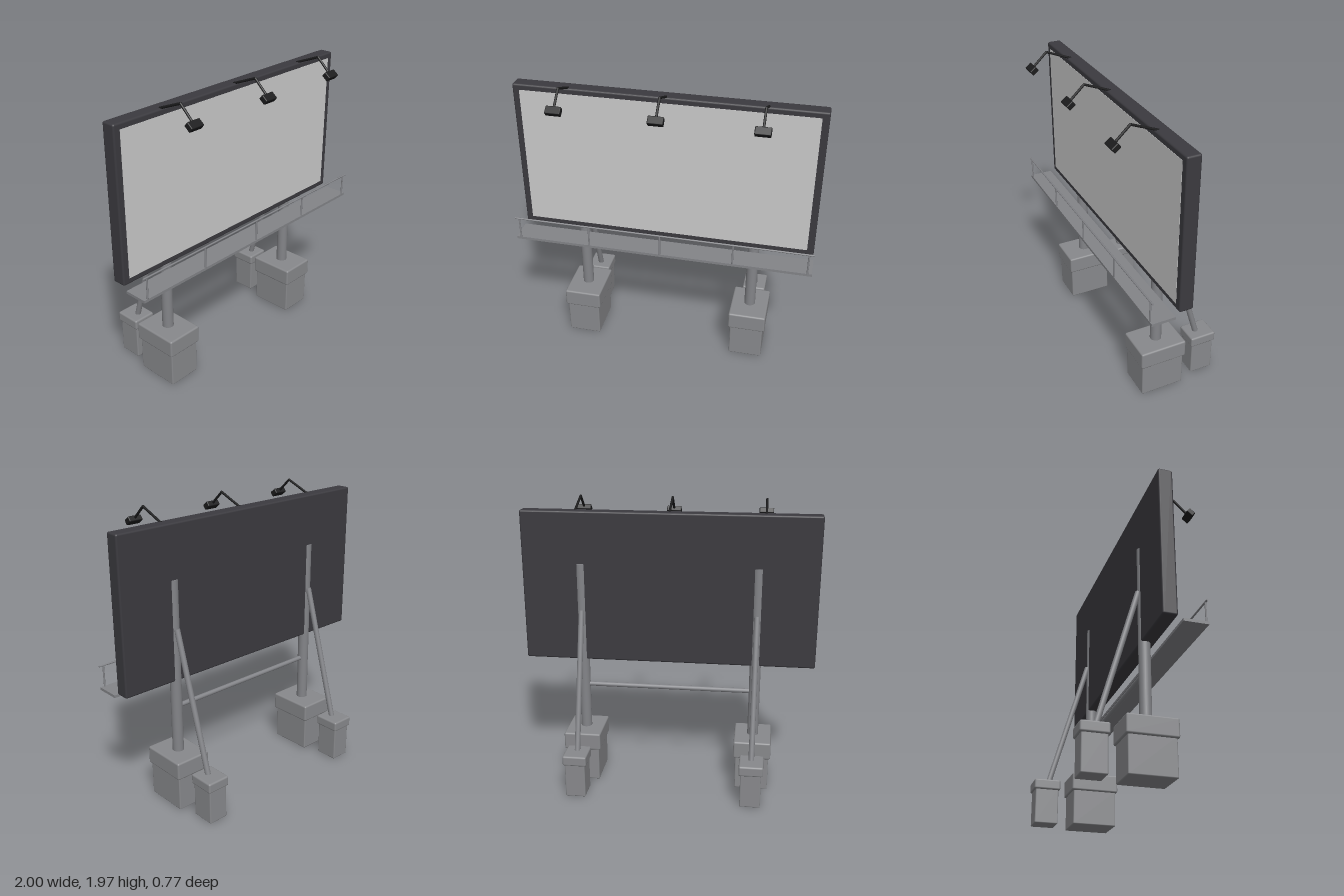
import * as THREE from 'three';
import { RoundedBoxGeometry } from 'three/addons/geometries/RoundedBoxGeometry.js';

function material(name, color) {
  const m = new THREE.MeshStandardMaterial({ color });
  m.name = name;
  return m;
}

export function createModel() {
  const frame = material('darkFrame', 0x3b3a3f);
  const poster = material('blankPoster', 0xcacaca);
  const concrete = material('concreteGrey', 0x88898c);
  const steel = material('steelGrey', 0x838488);
  const black = material('lampBlack', 0x1c1c1d);
  const root = new THREE.Group();
  root.name = 'billboard';

  const add = (parent, name, geometry, mat, x = 0, y = 0, z = 0) => {
    const mesh = new THREE.Mesh(geometry, mat);
    mesh.name = name;
    mesh.position.set(x, y, z);
    parent.add(mesh);
    return mesh;
  };
  const block = (parent, name, size, bevel, mat, x, y, z) =>
    add(parent, name, new RoundedBoxGeometry(...size, 2, bevel), mat, x, y, z);
  // Straight round bar between two points
  const bar = (parent, name, a, b, r, mat, sides = 16) => {
    const from = new THREE.Vector3(...a), to = new THREE.Vector3(...b);
    const dir = to.clone().sub(from);
    const mesh = add(parent, name, new THREE.CylinderGeometry(r, r, dir.length(), sides), mat);
    mesh.position.copy(from).add(to).multiplyScalar(0.5);
    mesh.quaternion.setFromUnitVectors(new THREE.Vector3(0, 1, 0), dir.normalize());
    return mesh;
  };
  const group = (name, x = 0) => {
    const g = new THREE.Group();
    g.name = name;
    g.position.x = x;
    root.add(g);
    return g;
  };

  // Display panel with a thin blank poster on its front
  block(root, 'panel', [1.99, 1.028, 0.095], 0.012, frame, 0, 1.384, 0.051);
  add(root, 'poster', new THREE.BoxGeometry(1.9, 0.95, 0.004), poster, 0, 1.385, 0.0985);

  // Two supports: column and rear brace, each on a capped footing
  for (const side of [-1, 1]) {
    const s = group(side < 0 ? 'rightSupport' : 'leftSupport', side * 0.595);
    block(s, 'footing', [0.228, 0.25, 0.3], 0.008, concrete, 0, 0.125, 0.033);
    block(s, 'footingCap', [0.256, 0.122, 0.325], 0.012, concrete, 0, 0.296, 0.033);
    block(s, 'braceFooting', [0.138, 0.25, 0.16], 0.008, concrete, 0, 0.125, -0.295);
    block(s, 'braceFootingCap', [0.162, 0.07, 0.182], 0.012, concrete, 0, 0.27, -0.295);
    bar(s, 'column', [0, 0.34, 0.032], [0, 1.545, 0.032], 0.038, steel, 24);
    bar(s, 'rearBrace', [0, 0.28, -0.281], [0, 1.225, -0.003], 0.019, steel);
  }
  bar(root, 'crossbar', [-0.58, 0.677, 0.032], [0.58, 0.677, 0.032], 0.016, steel);

  // Service walkway with a railing along its outer edge
  const walk = group('walkway');
  add(walk, 'deck', new THREE.BoxGeometry(2, 0.018, 0.16), steel, 0, 0.846, 0.205);
  bar(walk, 'handrail', [-1, 1, 0.281], [1, 1, 0.281], 0.006, steel, 8);
  for (let i = -2; i <= 2; i++) {
    const x = i * 0.485;
    bar(walk, 'railPost', [x, 0.85, 0.281], [x, 1, 0.281], 0.006, steel, 8);
  }

  // Three floodlights on bent arms over the top edge
  const knee = [0, 1.963, 0.247];
  for (const x of [-0.63, 0, 0.63]) {
    const lamp = group('floodlight', x);
    bar(lamp, 'lowerArm', [0, 1.893, 0.07], knee, 0.008, black, 10);
    bar(lamp, 'upperArm', knee, [0, 1.878, 0.337], 0.008, black, 10);
    add(lamp, 'armElbow', new THREE.SphereGeometry(0.008, 10, 8), black, ...knee);
    const head = block(lamp, 'lampHead', [0.098, 0.038, 0.052], 0.006, black, 0, 1.861, 0.353);
    head.rotation.x = 0.68;
  }
  return root;
}
